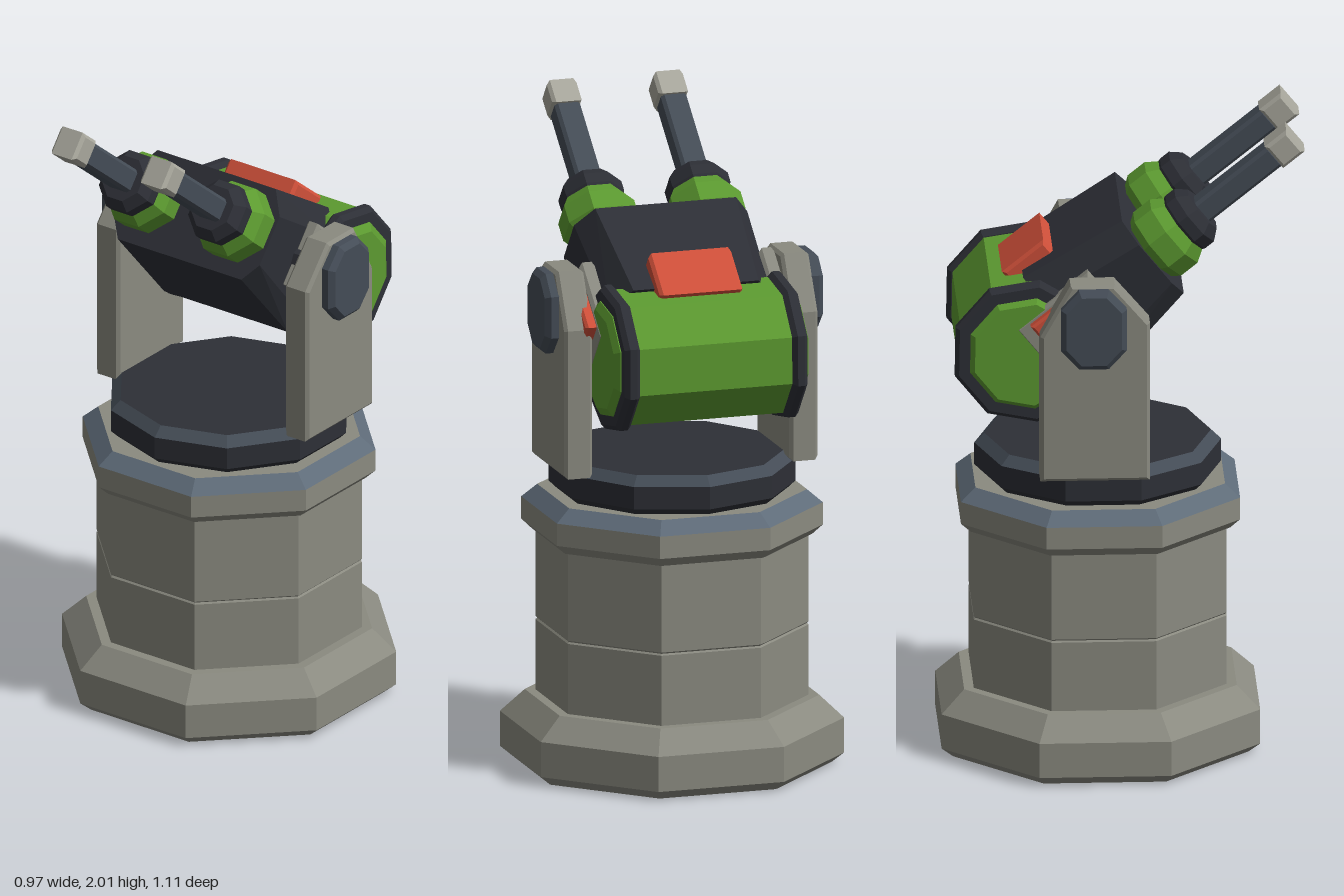
import * as THREE from 'three';
import { ConvexGeometry } from 'three/addons/geometries/ConvexGeometry.js';

const paint = (color) => new THREE.MeshStandardMaterial({ color, flatShading: true, side: THREE.DoubleSide });
const mats = {
  stone: paint(0x8a8a80), pale: paint(0xa8a79c), steel: paint(0x5e6b78),
  slate: paint(0x444c56), dark: paint(0x2d2f36), green: paint(0x5c9a30), red: paint(0xd0503a),
};

function add(parent, name, geometry, mat, x = 0, y = 0, z = 0) {
  const mesh = new THREE.Mesh(geometry, mats[mat]);
  mesh.name = name;
  mesh.position.set(x, y, z);
  parent.add(mesh);
  return mesh;
}

// Faceted turned solid from [radius, height] pairs, bottom to top
function turned(profile, sides, phase = 0) {
  return new THREE.LatheGeometry(profile.map(([r, h]) => new THREE.Vector2(r, h)), sides, phase);
}

// Octagon with flats facing the axes; radii are given to the flats
function octagon(profile) {
  const k = 1 / Math.cos(Math.PI / 8);
  return turned(profile.map(([r, h]) => [r * k, h]), 8, Math.PI / 8);
}

// Bevelled plate: outline of [z, y] points, thickness along x
function plate(outline, thickness, bevel) {
  const shape = new THREE.Shape(outline.map(([z, y]) => new THREE.Vector2(z, y)));
  const depth = thickness - 2 * bevel;
  const g = new THREE.ExtrudeGeometry(shape, {
    depth, bevelEnabled: true, bevelThickness: bevel, bevelSize: bevel, bevelOffset: -bevel, bevelSegments: 1,
  });
  return g.translate(0, 0, -depth / 2).rotateY(-Math.PI / 2);
}

// Bevelled box spanning z0..z1 and y0..y1
const block = (z0, z1, y0, y1, thickness, bevel) =>
  plate([[z0, y0], [z1, y0], [z1, y1], [z0, y1]], thickness, bevel);

function createPedestal() {
  const g = new THREE.Group();
  g.name = 'pedestal';
  g.position.z = -0.063;
  add(g, 'foot', octagon([[0, 0], [0.45, 0], [0.485, 0.03], [0.485, 0.14], [0.415, 0.21], [0.38, 0.21]]), 'stone');
  add(g, 'column', octagon([[0.385, 0.2], [0.385, 0.43], [0.38, 0.435], [0.385, 0.44], [0.385, 0.73]]), 'stone');
  add(g, 'collar', octagon([[0.38, 0.715], [0.395, 0.715], [0.425, 0.745], [0.425, 0.815]]), 'stone');
  add(g, 'collarBevel', octagon([[0.425, 0.815], [0.38, 0.855]]), 'steel');
  add(g, 'collarTop', octagon([[0.38, 0.855], [0, 0.855]]), 'stone');
  add(g, 'turntable', turned([[0.35, 0.85], [0.376, 0.875], [0.376, 0.945]], 10), 'dark');
  add(g, 'turntableBevel', turned([[0.376, 0.945], [0.345, 0.975]], 10), 'slate');
  add(g, 'turntableTop', turned([[0.345, 0.975], [0, 0.975]], 10), 'dark');
  return g;
}

function createArm(side) {
  const g = new THREE.Group();
  g.name = side > 0 ? 'leftArm' : 'rightArm';
  const outline = [[0.077, 0.955], [0.077, 1.46], [-0.03, 1.585], [-0.165, 1.585], [-0.257, 1.42], [-0.257, 0.955]];
  add(g, 'upright', plate(outline.reverse(), 0.09, 0.01), 'stone', side * 0.36);
  // Tall octagonal hub cover
  const hub = [[0.045, 0.125], [-0.045, 0.125], [-0.1, 0.065], [-0.1, -0.065],
    [-0.045, -0.125], [0.045, -0.125], [0.1, -0.065], [0.1, 0.065]];
  add(g, 'hubCover', plate(hub, 0.09, 0.016), 'slate', side * 0.4, 1.45, -0.095);
  add(g, 'axle', new THREE.CylinderGeometry(0.09, 0.09, 0.1, 8).rotateZ(Math.PI / 2), 'dark', side * 0.29, 1.45, -0.095);
  return g;
}

function createGun(side) {
  const g = new THREE.Group();
  g.name = side > 0 ? 'leftGun' : 'rightGun';
  g.position.set(side * 0.17, 0.015, 0);
  const along = (profile) => octagon(profile).rotateX(Math.PI / 2);
  add(g, 'sleeve', along([[0, 0.24], [0.088, 0.24], [0.112, 0.275], [0.112, 0.34], [0.085, 0.385], [0, 0.385]]), 'green');
  add(g, 'sleeveNut', along([[0, 0.36], [0.085, 0.365], [0.093, 0.385], [0.093, 0.42], [0.068, 0.452], [0, 0.452]]), 'dark');
  add(g, 'barrel', block(0.42, 0.74, -0.038, 0.038, 0.082, 0.01), 'slate');
  add(g, 'muzzle', block(0.73, 0.815, -0.045, 0.045, 0.095, 0.01), 'pale');
  return g;
}

function createHead() {
  const g = new THREE.Group();
  g.name = 'gunHead';
  g.position.set(0, 1.45, -0.095);
  g.rotation.x = -THREE.MathUtils.degToRad(39);

  // Wedge housing, taller at the rear
  const half = [
    [0.225, 0.158, 0.25], [0.277, 0.08, 0.25], [0.277, -0.08, 0.25], [0.235, -0.14, 0.25],
    [0.2, 0.202, -0.1], [0.26, 0.12, -0.1], [0.26, -0.14, -0.1], [0.235, -0.2, -0.1],
  ];
  const corners = half.flatMap(([x, y, z]) => [new THREE.Vector3(x, y, z), new THREE.Vector3(-x, y, z)]);
  add(g, 'housing', new ConvexGeometry(corners), 'dark');
  add(g, 'topPanel', block(-0.152, 0.01, 0.16, 0.235, 0.265, 0.01), 'red');

  // Nine-sided drum lying across the rear
  const across = (profile) => turned(profile, 9).rotateZ(-Math.PI / 2);
  const drum = new THREE.Group();
  drum.name = 'drum';
  drum.position.set(0, 0.035, -0.23);
  g.add(drum);
  add(drum, 'drumShell', across([[0.212, -0.26], [0.212, 0.26]]), 'green');
  for (const s of [-1, 1]) {
    const rim = [[0, -0.024], [0.215, -0.024], [0.228, -0.012], [0.228, 0.01], [0.212, 0.024], [0, 0.024]];
    add(drum, 'drumRim', across(rim), 'dark', s * 0.268);
    const cap = [[0, -0.025], [0.165, -0.025], [0.18, -0.01], [0.18, 0.01], [0.155, 0.025], [0, 0.025]];
    add(drum, 'drumCap', across(cap), 'green', s * 0.285);
    add(g, 'sidePlate', block(-0.205, 0.08, -0.09, 0.12, 0.05, 0.01), 'stone', s * 0.287);
    add(g, 'sideLight', block(-0.157, -0.01, 0.045, 0.105, 0.06, 0.008), 'red', s * 0.315);
    g.add(createGun(s));
  }
  return g;
}

export function createModel() {
  const model = new THREE.Group();
  model.name = 'turret';
  model.add(createPedestal(), createArm(1), createArm(-1), createHead());
  return model;
}
